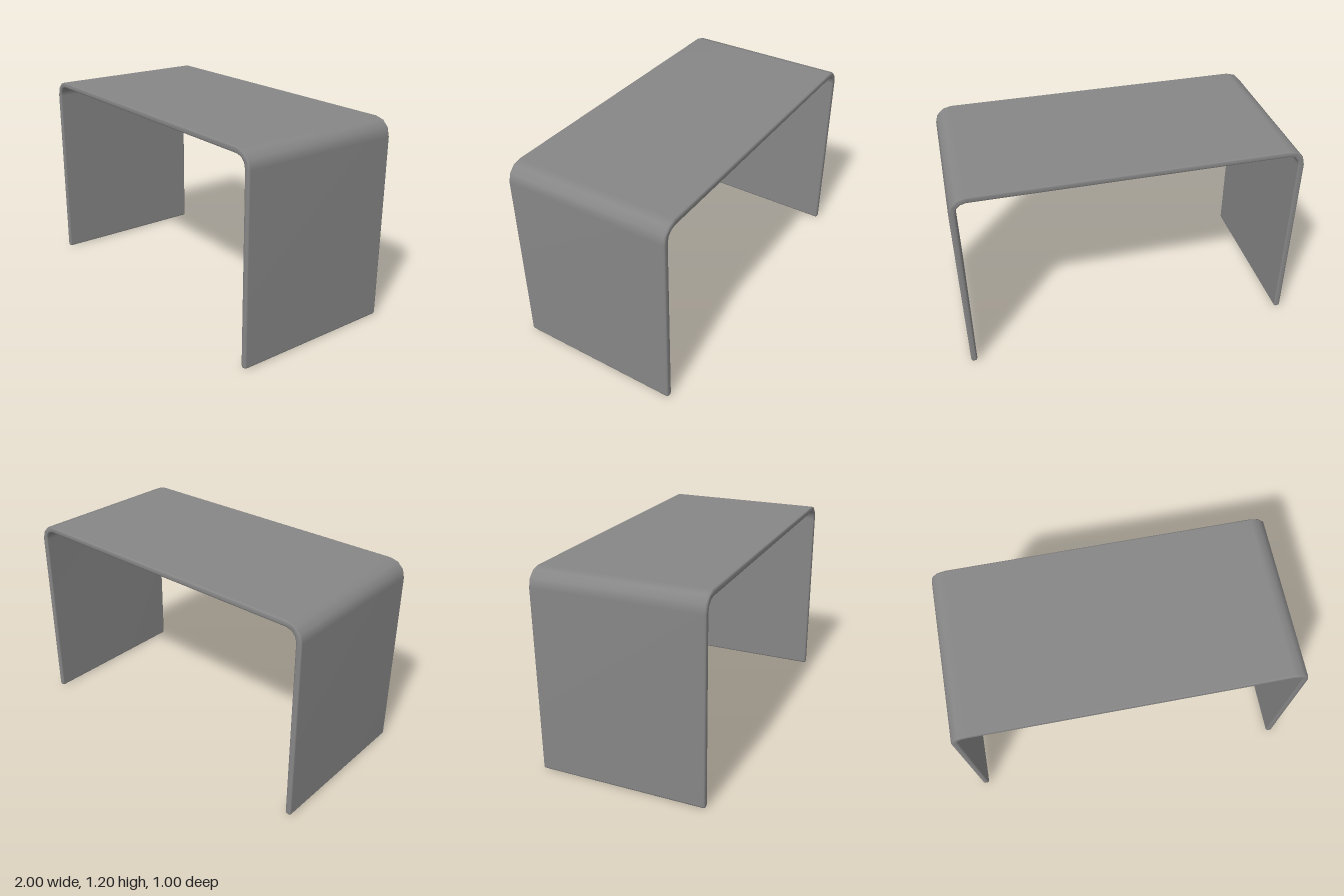
import * as THREE from 'three';
import { mergeVertices } from 'three/addons/utils/BufferGeometryUtils.js';

const HEIGHT = 1.2, DEPTH = 1.0, THICK = 0.037;
const OUTER_R = 0.1, INNER_R = OUTER_R - THICK; // bend radii
const EDGE = 0.01, FOOT_R = 0.013;              // rim rounding

// Points on an arc from angle a to angle b, in degrees
function arc(cx, cy, r, a, b, n) {
  return Array.from({ length: n + 1 }, (_, i) => {
    const t = THREE.MathUtils.degToRad(a + ((b - a) * i) / n);
    return new THREE.Vector2(cx + r * Math.cos(t), cy + r * Math.sin(t));
  });
}

export function createModel() {
  const group = new THREE.Group();
  group.name = 'waterfallTable';

  // Left half of the bent sheet's profile: foot, outer bend, then inner bend
  const inX = 1 - THICK, bendX = 1 - OUTER_R, bendY = HEIGHT - OUTER_R;
  const outer = [
    ...arc(1 - FOOT_R, FOOT_R, FOOT_R, -90, 0, 2),
    ...arc(bendX, bendY, OUTER_R, 0, 90, 3),
  ];
  const inner = [
    ...arc(bendX, bendY, INNER_R, 90, 0, 3),
    ...arc(inX + FOOT_R, FOOT_R, FOOT_R, 180, 270, 2),
  ];
  const mirror = (pts) => pts.map((p) => new THREE.Vector2(-p.x, p.y)).reverse();
  const profile = new THREE.Shape([...outer, ...mirror(outer), ...mirror(inner), ...inner]);

  // One continuous sheet with rounded front and back rims
  let geometry = new THREE.ExtrudeGeometry(profile, {
    depth: DEPTH - 2 * EDGE,
    bevelEnabled: true,
    bevelThickness: EDGE,
    bevelSize: EDGE,
    bevelOffset: -EDGE,
    bevelSegments: 2,
  });
  geometry.translate(0, 0, -DEPTH / 2 + EDGE);

  // Shared, area-weighted normals keep the panels flat and the bends smooth
  geometry.deleteAttribute('uv');
  geometry.deleteAttribute('normal');
  geometry = mergeVertices(geometry, 1e-5);
  geometry.computeVertexNormals();

  const sheet = new THREE.Mesh(geometry, new THREE.MeshStandardMaterial({ color: 0x868686 }));
  sheet.name = 'bentTableSheet';
  group.add(sheet);
  return group;
}
